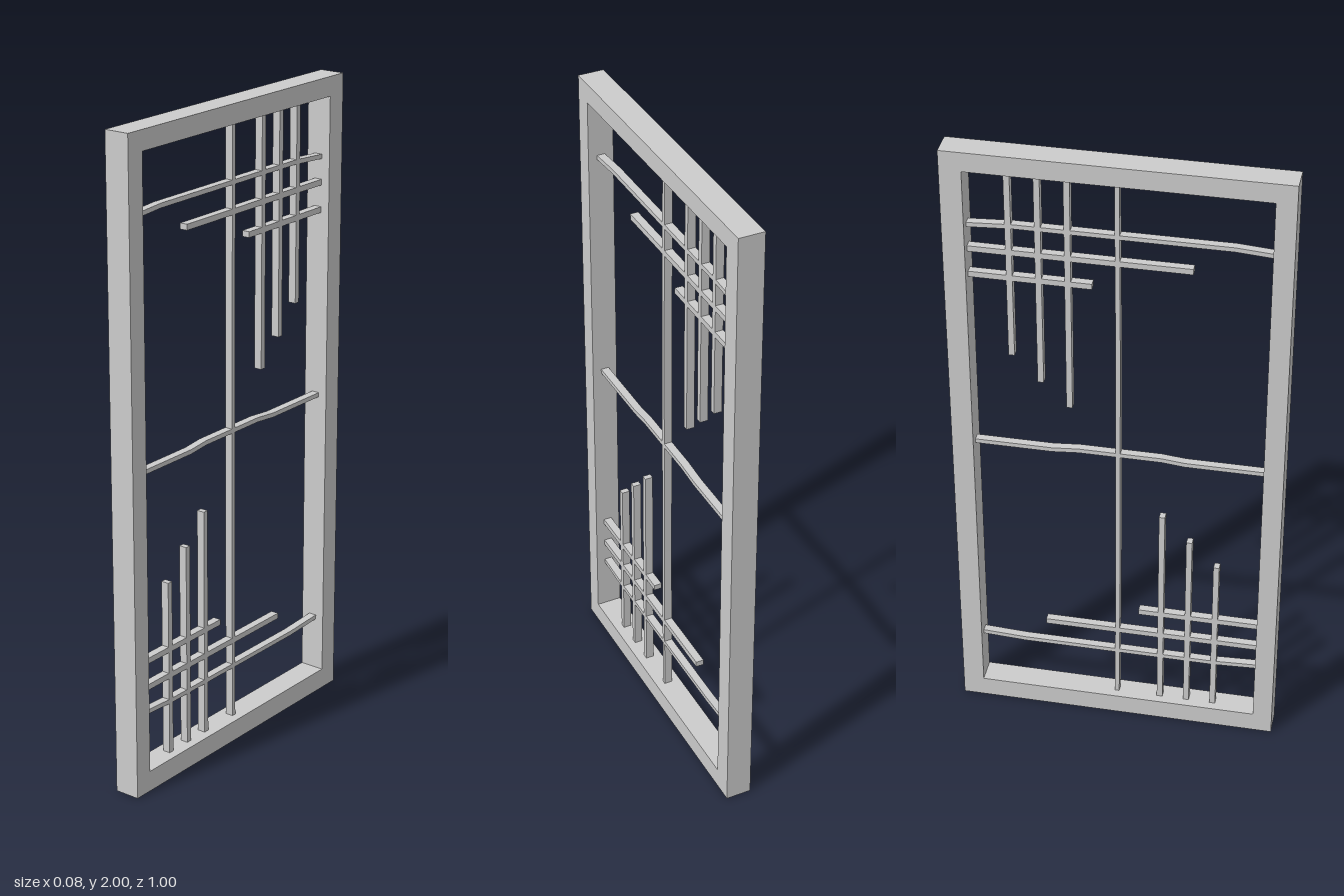
import * as THREE from 'three';

const material = new THREE.MeshStandardMaterial({ color: 0xcccccc, flatShading: true });

// Extrudes a flat outline (u = -z, v = y) through the panel thickness, centred on x = 0
function slab(name, shape, depth) {
  const geometry = new THREE.ExtrudeGeometry(shape, { depth, bevelEnabled: false });
  geometry.translate(0, 0, -depth / 2);
  geometry.rotateY(Math.PI / 2);
  const mesh = new THREE.Mesh(geometry, material);
  mesh.name = name;
  return mesh;
}

const rect = (u0, v0, u1, v1, Type = THREE.Shape) => new Type([
  new THREE.Vector2(u0, v0), new THREE.Vector2(u1, v0),
  new THREE.Vector2(u1, v1), new THREE.Vector2(u0, v1),
]);

// Strip of constant width following a slightly bent centre line
function strip(points, width, vertical) {
  const h = width / 2;
  const side = (s) => points.map(([u, v]) =>
    vertical ? new THREE.Vector2(u + s, v) : new THREE.Vector2(u, v + s));
  return new THREE.Shape([...side(-h), ...side(h).reverse()]);
}

export function createModel() {
  const group = new THREE.Group();
  group.name = 'latticePanel';
  const L = -0.44, R = 0.435, B = 0.065, T = 1.94;
  const barDepth = 0.025, barWidth = 0.018, longWidth = 0.014;

  // Outer frame
  const outline = rect(-0.5, 0, 0.5, 2);
  outline.holes.push(rect(L, B, R, T, THREE.Path));
  group.add(slab('frame', outline, 0.08));

  // Full-length bars, gently bowed
  const rails = {
    topRail: [[L, 1.754], [-0.33, 1.762], [0.3, 1.762], [R, 1.754]],
    middleRail: [[L, 0.998], [-0.2, 0.998], [-0.13, 1.005], [0.12, 1.005], [0.2, 0.998], [R, 0.998]],
    bottomRail: [[L, 0.242], [-0.3, 0.235], [0.3, 0.235], [R, 0.242]],
  };
  for (const [name, points] of Object.entries(rails)) {
    group.add(slab(name, strip(points, longWidth, false), barDepth));
  }
  group.add(slab('centreBar',
    strip([[0.003, B], [0, 0.6], [0, 1.4], [0.003, T]], longWidth, true), barDepth));

  // Stepped vertical bars: [position, bottom, top]
  const uprights = [
    [0.145, 1.16, T], [0.23, 1.24, T], [0.315, 1.325, T],
    [-0.305, B, 0.62], [-0.22, B, 0.705], [-0.135, B, 0.79],
  ];
  for (const [u, v0, v1] of uprights) {
    group.add(slab('verticalBar', strip([[u, v0], [u, v1]], barWidth, true), barDepth));
  }

  // Stepped horizontal bars: [height, start, end]
  const crossbars = [
    [1.675, -0.215, R], [1.59, 0.075, R],
    [0.405, L, -0.065], [0.32, L, 0.23],
  ];
  for (const [v, u0, u1] of crossbars) {
    group.add(slab('horizontalBar', strip([[u0, v], [u1, v]], barWidth, false), barDepth));
  }
  return group;
}
